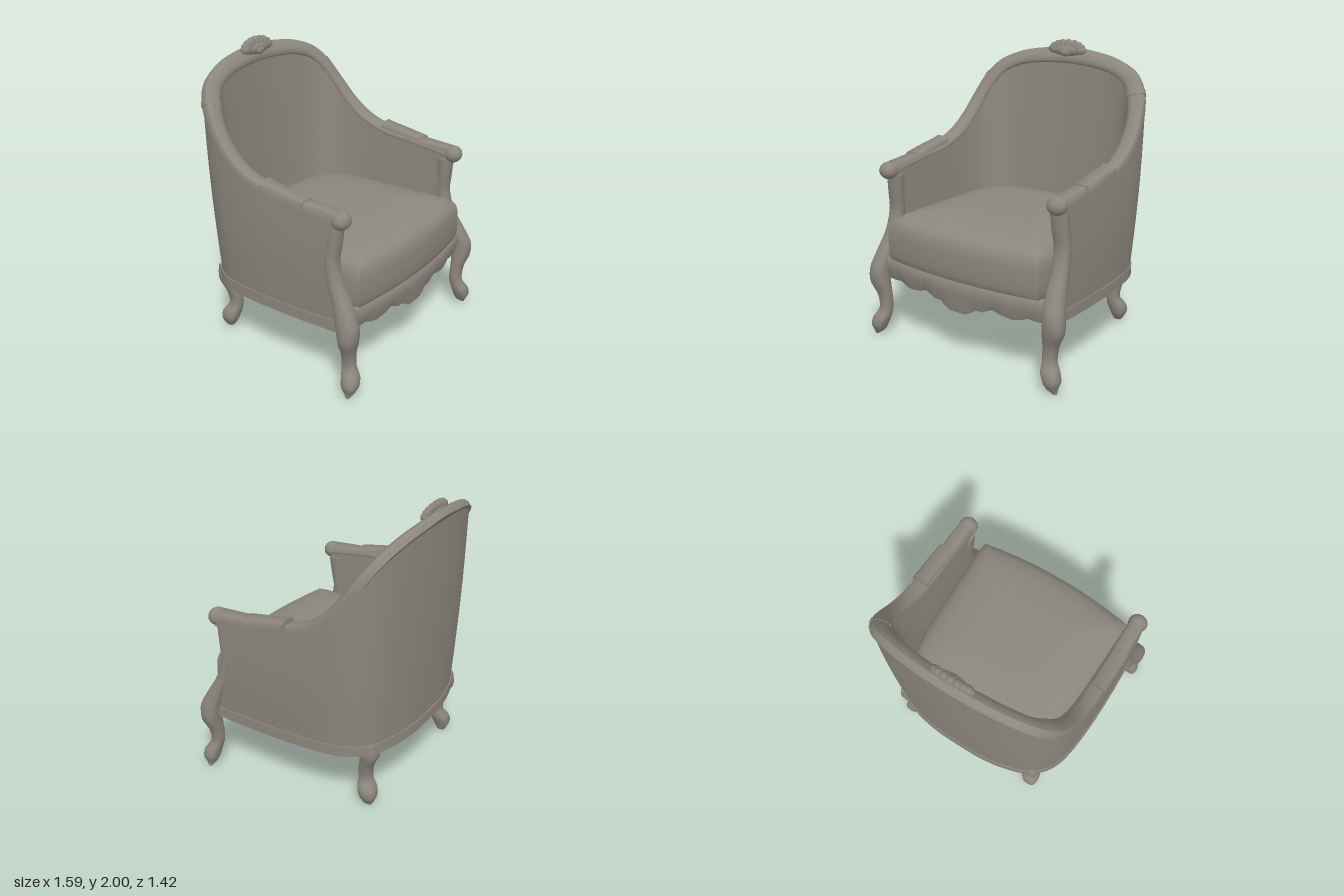
import * as THREE from 'three';
import { toCreasedNormals } from 'three/addons/utils/BufferGeometryUtils.js';

const V = (x, y, z) => new THREE.Vector3(x, y, z);
const taupe = new THREE.MeshStandardMaterial({ color: 0x8c877d, side: THREE.DoubleSide });
taupe.name = 'taupe';

// Skin a list of cross-sections; closed joins each section into a ring, caps fill the ends
function loft(name, rows, { closed = true, caps = closed ? ['start', 'end'] : [], crease = 0.8 } = {}) {
  const n = rows[0].length, m = rows.length, pos = [], idx = [];
  rows.forEach(r => r.forEach(p => pos.push(p.x, p.y, p.z)));
  const around = closed ? n : n - 1;
  for (let i = 0; i < m - 1; i++) for (let j = 0; j < around; j++) {
    const a = i * n + j, b = i * n + (j + 1) % n;
    idx.push(a, a + n, b + n, a, b + n, b);
  }
  for (const cap of caps) {
    const i = cap === 'start' ? 0 : m - 1;
    const c = rows[i].reduce((s, p) => s.add(p), V(0, 0, 0)).divideScalar(n);
    const k = pos.length / 3;
    pos.push(c.x, c.y, c.z);
    for (let j = 0; j < n; j++) {
      const a = i * n + j, b = i * n + (j + 1) % n;
      idx.push(k, ...(i ? [b, a] : [a, b]));
    }
  }
  const g = new THREE.BufferGeometry();
  g.setAttribute('position', new THREE.Float32BufferAttribute(pos, 3));
  g.setIndex(idx);
  const mesh = new THREE.Mesh(toCreasedNormals(g, crease), taupe);
  mesh.name = name;
  return mesh;
}

// Horseshoe curve from the left arm, round the back, to the right arm
function horseshoe(half) {
  const pts = half.map(p => V(...p));
  const other = half.slice(0, -1).reverse().map(([x, y, z]) => V(-x, y, z));
  return new THREE.CatmullRomCurve3([...pts, ...other]);
}
const outerEdge = horseshoe([[.74, 1.2, .55], [.745, 1.24, .25], [.745, 1.28, 0], [.742, 1.345, -.18],
  [.735, 1.44, -.31], [.715, 1.575, -.425], [.67, 1.715, -.52], [.575, 1.825, -.59], [.4, 1.9, -.64],
  [.2, 1.935, -.665], [0, 1.95, -.672]]);
const innerEdge = horseshoe([[.63, 1.2, .55], [.63, 1.24, .25], [.625, 1.27, 0], [.625, 1.335, -.18],
  [.62, 1.43, -.3], [.605, 1.555, -.4], [.56, 1.68, -.475], [.49, 1.76, -.53], [.36, 1.815, -.565],
  [.18, 1.84, -.585], [0, 1.845, -.595]]);
const outerBase = horseshoe([[.72, .5, .58], [.73, .5, .3], [.73, .5, .05], [.72, .5, -.15],
  [.705, .5, -.28], [.68, .5, -.39], [.625, .5, -.49], [.525, .5, -.575], [.37, .5, -.63],
  [.19, .5, -.66], [0, .5, -.665]]);
const innerBase = horseshoe([[.63, .55, .58], [.62, .55, .3], [.61, .55, .05], [.6, .55, -.15],
  [.585, .55, -.26], [.56, .55, -.35], [.51, .55, -.43], [.43, .55, -.485], [.31, .55, -.515],
  [.16, .55, -.53], [0, .55, -.535]]);
const range = (n, f) => Array.from({ length: n + 1 }, (_, i) => f(i / n));

// Point on the rail section: u runs outer to inner edge, d is depth below its face
function railPoint(t, u, d) {
  const o = outerEdge.getPoint(t), across = innerEdge.getPoint(t).sub(o);
  const down = across.clone().cross(outerEdge.getTangent(t)).normalize();
  return o.addScaledVector(across, u).addScaledVector(down, d);
}
const railSection = [[0, .025], [.06, .004], [.3, -.008], [.7, -.008], [.94, .004], [1, .02],
  [.96, .035], [.5, .07], [.04, .06]];
function rail(name, t0, t1, steps, grow = 0) {
  return loft(name, range(steps, k => railSection.map(([u, d]) =>
    railPoint(t0 + (t1 - t0) * k, .5 + (u - .5) * (1 + grow), .03 + (d - .03) * (1 + grow)))));
}

// Upholstered wall between the rail and the base, hollowed behind the front posts
function wall(name, u, depth, base, bulge, upward) {
  return loft(name, range(96, t => {
    const top = railPoint(t, u, depth), bottom = base.getPoint(t);
    const col = range(12, v => {
      const p = top.clone().lerp(bottom, v);
      const radial = V(p.x, 0, Math.min(p.z, 0)).normalize();
      p.addScaledVector(radial, bulge * Math.sin(Math.PI * v));
      const hollow = .03 * (1 - v) + .075 * Math.sin(Math.PI * Math.min(1, v / .9));
      p.z -= hollow * Math.max(0, (p.z - .2) / .35);
      return p;
    });
    return upward ? col.reverse() : col;
  }), { closed: false, crease: 1 });
}

// Curved leg from rows of [y, centre x, centre z, half width, half depth]
function leg(name, rows, side) {
  const centre = new THREE.CatmullRomCurve3(rows.map(r => V(r[1], r[0], r[2])));
  const size = new THREE.CatmullRomCurve3(rows.map(r => V(r[3], 0, r[4])));
  const soft = v => Math.sign(v) * Math.abs(v) ** .6;
  return loft(name, range(rows.length * 3, t => {
    const c = centre.getPoint(t), s = size.getPoint(t);
    return range(11, k => {
      const a = k * 11 / 12 * Math.PI * 2;
      return V(side * c.x + s.x * soft(Math.cos(a)), c.y, c.z - s.z * soft(Math.sin(a)));
    });
  }));
}
const frontLegRows = [[1.15, .67, .5, .055, .05], [1, .677, .49, .052, .045], [.9, .684, .48, .051, .044],
  [.75, .692, .515, .052, .048], [.62, .705, .58, .06, .058], [.5, .725, .628, .063, .068],
  [.4, .725, .635, .068, .058], [.3, .7, .622, .05, .041], [.2, .693, .622, .043, .041],
  [.13, .715, .648, .058, .053], [.08, .73, .655, .054, .052], [.035, .735, .655, .034, .034],
  [0, .757, .655, .01, .012]];
const backLegRows = [[.5, .54, -.52, .05, .058], [.4, .53, -.53, .06, .058], [.3, .515, -.495, .048, .045],
  [.2, .505, -.485, .042, .044], [.13, .525, -.51, .06, .06], [.08, .535, -.52, .053, .057],
  [.02, .53, -.525, .028, .028]];

// Half of the scalloped lower edge of the apron: [x, y]
const scallop = [[0, .36], [.07, .362], [.12, .39], [.14, .41], [.2, .41], [.24, .43], [.28, .445],
  [.33, .425], [.42, .41], [.48, .42], [.53, .44], [.6, .43], [.67, .43]];
function scallopY(x) {
  const i = Math.max(1, scallop.findIndex(p => p[0] >= x - 1e-6));
  const [a, b] = [scallop[i - 1], scallop[i]];
  return a[1] + (b[1] - a[1]) * (x - a[0]) / (b[0] - a[0]);
}

function ellipsoid(name, x, y, z, rx, ry, rz, seg = 16) {
  const m = new THREE.Mesh(new THREE.SphereGeometry(1, seg, Math.ceil(seg * .7)), taupe);
  m.name = name;
  m.position.set(x, y, z);
  m.scale.set(rx, ry, rz);
  return m;
}

export function createModel() {
  const chair = new THREE.Group();
  chair.name = 'armchair';

  // Frame and upholstered shell
  chair.add(rail('topRail', 0, 1, 120));
  chair.add(wall('outerUpholstery', .005, .035, outerBase, .012, true));
  chair.add(wall('innerUpholstery', .97, .025, innerBase, -.005, false));
  chair.add(loft('baseBand', range(80, t => {
    const p = outerBase.getPoint(t), T = outerBase.getTangent(t), out = V(-T.z, 0, T.x);
    return [[.008, .43], [.008, .505], [-.012, .505], [-.012, .43]].map(([d, y]) =>
      p.clone().addScaledVector(out, d).setY(y));
  }), { crease: .6 }));

  // Scalloped, bowed front apron
  chair.add(loft('frontApron', range(134, k => {
    const x = -.67 + 1.34 * k, z = .63 + .07 * (1 - (x / .67) ** 2), y = scallopY(Math.abs(x));
    return [V(x, y, z - .025), V(x, .5, z), V(x, .575, z), V(x, .585, z - .01),
      V(x, .585, z - .05), V(x, y, z - .045)];
  })));

  // Crowned seat cushion, open underneath
  const plan = [
    ...range(16, k => V(.62 - 1.24 * k, 0, .645 + .058 * (1 - (1 - 2 * k) ** 2))),
    ...range(50, k => innerBase.getPoint(1 - k)),
  ];
  const cushionRings = [[.97, .57], [.99, .59], [1, .63], [1.003, .7], [1, .785], [.985, .835], [.95, .868],
    [.88, .897], [.75, .922], [.5, .938], [.25, .943], [.02, .944]];
  chair.add(loft('seatCushion', cushionRings.map(([s, y]) =>
    plan.map(p => V(p.x * s, y, .08 + (p.z - .08) * s))), { caps: ['end'], crease: .9 }));

  for (const side of [1, -1]) {
    const tag = side > 0 ? 'left' : 'right';
    chair.add(leg(tag + 'FrontLeg', frontLegRows, side), leg(tag + 'BackLeg', backLegRows, side));

    // Arm scroll, arm rail body and raised arm pad
    chair.add(ellipsoid(tag + 'ArmScroll', side * .685, 1.185, .55, .067, .06, .062));
    const bar = (name, rows) => chair.add(loft(tag + name, rows.map(([z, y0, y1, w, cx]) =>
      [[w, y0], [w, y1 - .015], [w - .015, y1], [.015 - w, y1], [-w, y1 - .015], [-w, y0]]
        .map(([dx, y]) => V(side * cx - dx, y, z)))));
    bar('ArmRail', [[.1, 1.17, 1.262, .053, .688], [.3, 1.14, 1.25, .052, .688], [.54, 1.135, 1.235, .051, .686]]);
    bar('ArmPad', [[-.025, 1.235, 1.318, .056, .696], [0, 1.235, 1.308, .056, .696],
      [.15, 1.215, 1.285, .056, .696], [.3, 1.19, 1.258, .056, .696]]);

    // Raised joint where the crest rail meets the arm
    const t = side > 0 ? .302 : .698;
    chair.add(rail(tag + 'RailCollar', t - .006, t + .006, 2, .08));
  }

  // Carved leaf crest on the top rail
  const crest = new THREE.Group();
  crest.name = 'carvedCrest';
  crest.add(ellipsoid('crestBody', 0, -.01, 0, .15, .045, .045, 10));
  for (let i = -4; i <= 4; i++) {
    const a = i * .37;
    const leaf = ellipsoid('crestLeaf', Math.sin(a) * .11, Math.cos(a) * .035 - .01, .008, .034, .048, .03, 8);
    leaf.rotation.z = -a;
    crest.add(leaf);
  }
  crest.add(ellipsoid('crestBud', 0, -.03, .025, .05, .028, .025, 8));
  crest.position.set(-.02, 1.928, -.645);
  crest.rotation.x = -.3;
  chair.add(crest);
  return chair;
}
